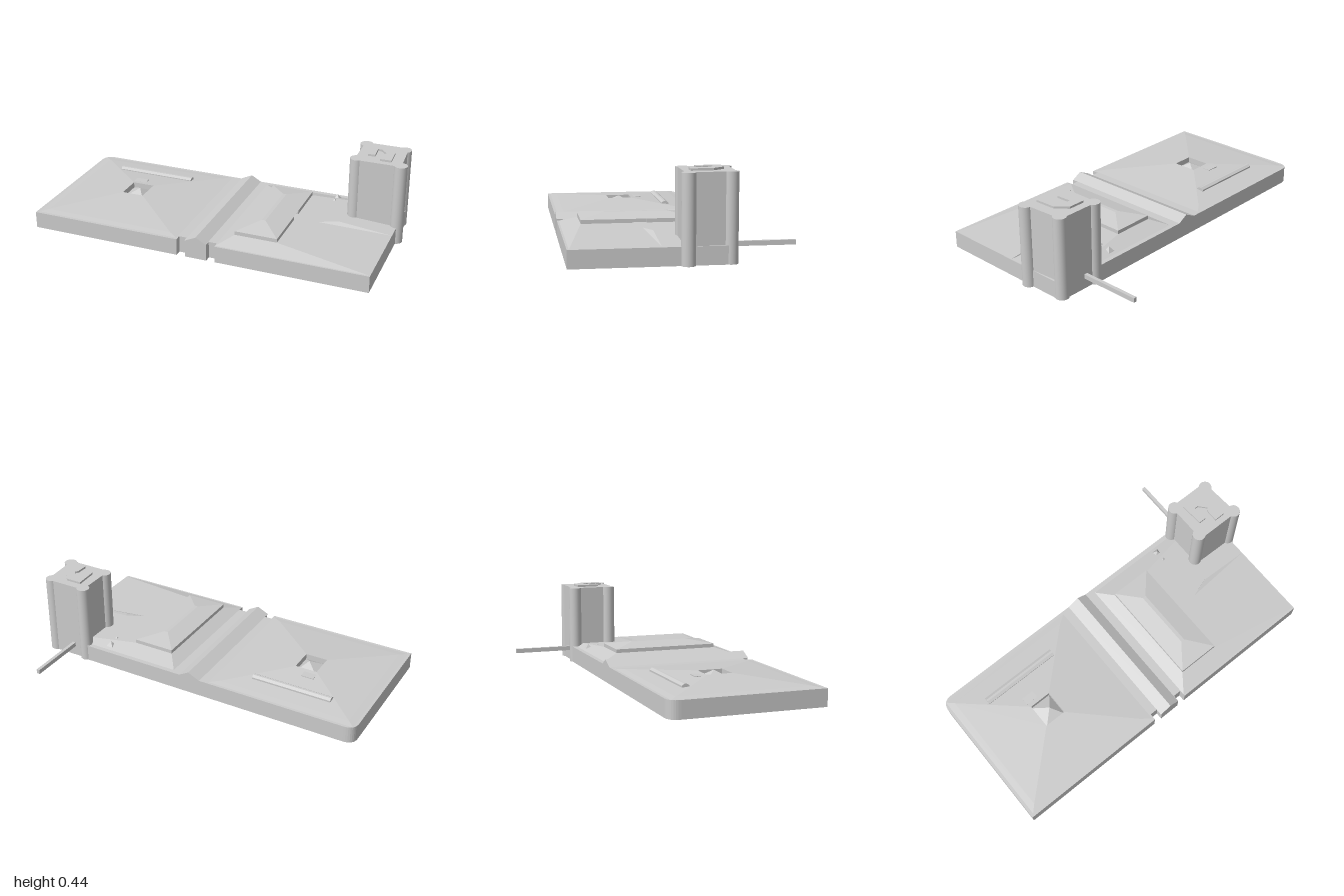
import * as THREE from 'three';

const material = new THREE.MeshStandardMaterial({ color: 0xcccccc, flatShading: true });
const smooth = new THREE.MeshStandardMaterial({ color: 0xcccccc });

function add(parent, name, geometry, mat = material) {
  const mesh = new THREE.Mesh(geometry, mat);
  mesh.name = name;
  parent.add(mesh);
  return mesh;
}

// Stacked rectangles [x0, x1, z0, z1, y] joined by sloping sides, the last one closed
function loft(rects, cap = true) {
  const rings = rects.map(([x0, x1, z0, z1, y]) =>
    [[x0, y, z0], [x0, y, z1], [x1, y, z1], [x1, y, z0]]);
  const pos = [];
  const quad = (a, b, c, d) => pos.push(...a, ...b, ...c, ...a, ...c, ...d);
  for (let i = 0; i + 1 < rings.length; i++) {
    for (let k = 0; k < 4; k++) {
      const n = (k + 1) % 4;
      quad(rings[i][k], rings[i][n], rings[i + 1][n], rings[i + 1][k]);
    }
  }
  if (cap) quad(...rings[rings.length - 1]);
  const g = new THREE.BufferGeometry();
  g.setAttribute('position', new THREE.Float32BufferAttribute(pos, 3));
  g.computeVertexNormals();
  return g;
}

// Plan outline in (x, z) raised from y0 to y1
function slab(shape, y0, y1) {
  const g = new THREE.ExtrudeGeometry(shape, { depth: y1 - y0, bevelEnabled: false, curveSegments: 8 });
  return g.rotateX(-Math.PI / 2).translate(0, y0, 0);
}
const plan = (pts) => new THREE.Shape(pts.map(([x, z]) => new THREE.Vector2(x, -z)));

const pyramid = (x, z, r, y0, y1) =>
  loft([[x - r, x + r, z - r, z + r, y0], [x, x, z, z, y1]], false);

export function createModel() {
  const model = new THREE.Group();
  model.name = 'fortifiedCourt';

  // Everything is laid out on a rectangle that is turned in plan
  const site = new THREE.Group();
  site.name = 'site';
  site.position.set(-0.85, 0, -0.69);
  site.rotation.y = 0.42;
  model.add(site);

  // Base slab with one rounded corner and two side notches
  const base = new THREE.Shape();
  base.moveTo(0, 0);
  base.lineTo(0.74, 0);
  base.quadraticCurveTo(0.8, 0, 0.8, -0.06);
  [[0.8, 1.6], [0.775, 1.62], [0.775, 1.84], [0, 1.84],
    [0, 1.037], [0.036, 1.037], [0.036, 0.992], [0, 0.992],
    [0, 0.875], [0.036, 0.875], [0.036, 0.828], [0, 0.828]]
    .forEach(([x, z]) => base.lineTo(x, -z));
  add(site, 'baseSlab', slab(base, 0, 0.09));

  // Rear court: shallow hipped ground around a square pit
  const pit = [0.333, 0.467, 0.353, 0.473];
  add(site, 'rearGround', loft([
    [0.015, 0.785, 0.015, 0.82, 0.09],
    [0.05, 0.75, 0.05, 0.77, 0.095],
    [...pit, 0.122],
    [...pit, 0.091],
  ], false));
  add(site, 'pitPyramid', loft([[...pit, 0.091], [0.4, 0.4, 0.425, 0.425, 0.13]], false));
  add(site, 'rearBar', loft([
    [0.624, 0.664, 0.19, 0.63, 0.09],
    [0.624, 0.664, 0.19, 0.63, 0.112],
    [0.638, 0.65, 0.19, 0.63, 0.121],
  ]));
  add(site, 'rearBlock', loft([
    [0.49, 0.533, 0.343, 0.412, 0.09],
    [0.49, 0.533, 0.343, 0.412, 0.12],
  ]));

  // Ridge dividing the two courts
  add(site, 'dividingRidge', loft([
    [0, 0.8, 0.87, 0.99, 0.09],
    [0, 0.8, 0.935, 0.935, 0.121],
  ], false));

  // Front court: sloping ground, raised hall and hipped roof
  add(site, 'frontGround', loft([
    [0.01, 0.775, 1.038, 1.835, 0.09],
    [0.103, 0.682, 1.107, 1.334, 0.12],
  ]));
  add(site, 'hall', slab(plan([[0.103, 1.107], [0.682, 1.107], [0.682, 1.334], [0.438, 1.334],
    [0.438, 1.315], [0.37, 1.315], [0.37, 1.334], [0.103, 1.334]]), 0.115, 0.14));
  add(site, 'hallRoof', loft([
    [0.103, 0.682, 1.107, 1.334, 0.14],
    [0.232, 0.56, 1.205, 1.225, 0.162],
  ]));

  // Thin spur running down to the front edge
  const spur = new THREE.BufferGeometry();
  const P = [0.403, 0.114, 1.451], Q = [0.437, 0.12, 1.559], R = [0.436, 0.092, 1.84];
  const low = [0.445, 0.09, 1.559];
  spur.setAttribute('position', new THREE.Float32BufferAttribute(
    [...P, ...R, ...Q, ...Q, ...R, ...low, ...P, ...Q, ...low], 3));
  spur.computeVertexNormals();
  add(site, 'spur', spur);

  for (const x of [0.683, 0.739]) add(site, 'smallPyramid', pyramid(x, 1.46, 0.023, 0.09, 0.122));

  // Tower with round corner turrets
  const tower = new THREE.Group();
  tower.name = 'tower';
  site.add(tower);
  const H = 0.433;
  add(tower, 'towerBody', slab(plan([[0.545, 1.59], [0.79, 1.59], [0.79, 1.825], [0.545, 1.84]]), 0, H));
  for (const [x, z] of [[0.572, 1.6], [0.775, 1.6], [0.765, 1.81], [0.56, 1.835]]) {
    add(tower, 'cornerTurret', new THREE.CylinderGeometry(0.035, 0.035, H, 20), smooth)
      .position.set(x, H / 2, z);
  }
  // Hooked raised kerb on the tower roof
  add(tower, 'roofKerb', slab(plan([[0.62, 1.645], [0.747, 1.637], [0.747, 1.725], [0.688, 1.775],
    [0.579, 1.781], [0.578, 1.721], [0.643, 1.722], [0.66, 1.735], [0.7, 1.7], [0.7, 1.68],
    [0.62, 1.685]]), H - 0.01, 0.444));

  // Beam projecting from the tower side
  add(tower, 'beam', new THREE.BoxGeometry(0.335, 0.024, 0.018)).position.set(0.947, 0.067, 1.675);

  return model;
}
